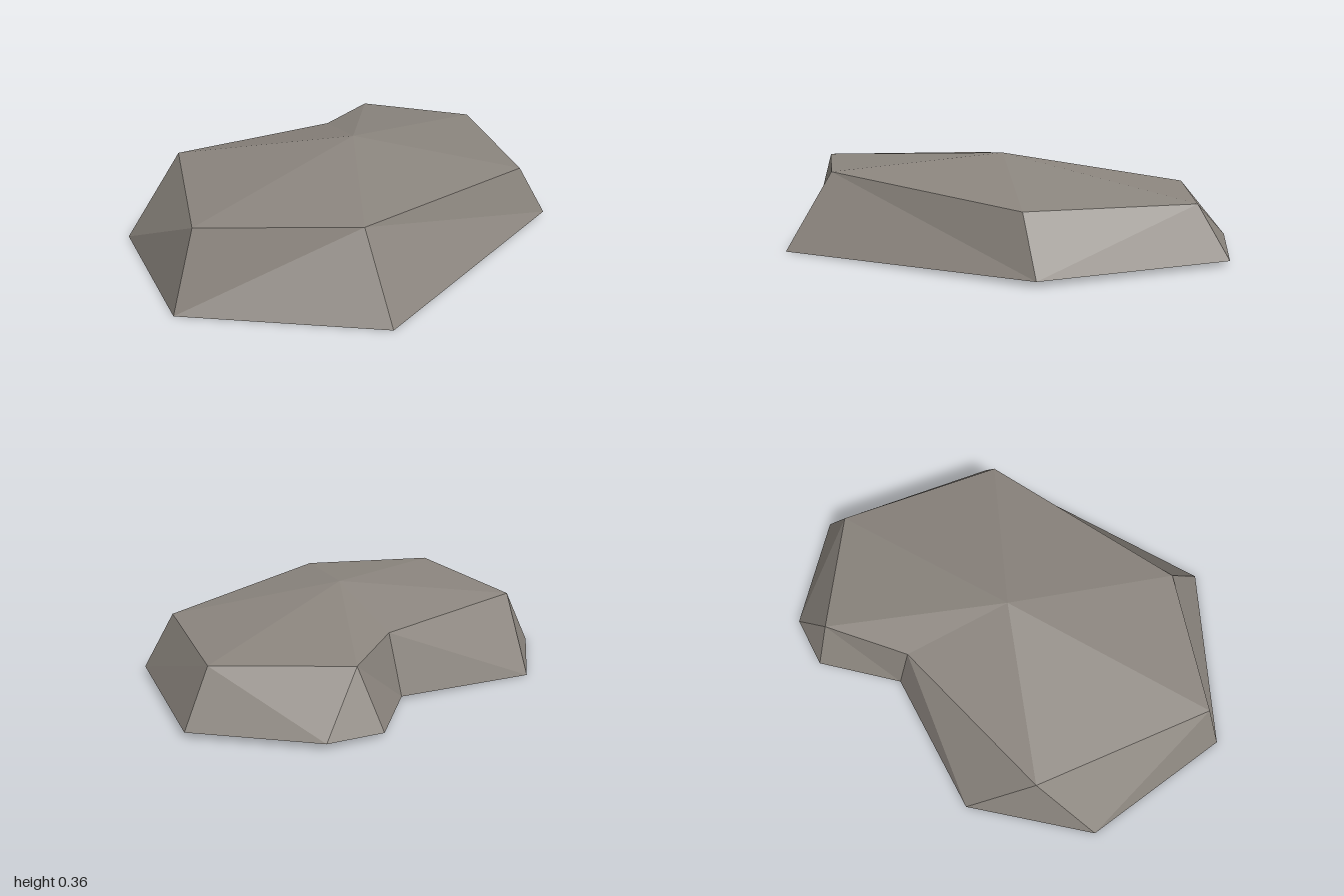
import * as THREE from 'three';

// Ground outline and upper rim, each running from +x round through +z
const BASE = [
  [1, 0.02, 0.01], [0.55, 0.02, 0.645], [-0.55, 0, 0.715], [-1, 0, 0.09], [-0.76, 0, -0.52],
  [-0.255, 0, -0.72], [0.285, 0.015, -0.43], [0.63, 0.015, -0.555], [0.825, 0.02, -0.45],
];
const RIM = [
  [0.87, 0.22, 0.01], [0.45, 0.235, 0.57], [-0.48, 0.3, 0.52], [-0.89, 0.305, 0.09],
  [-0.47, 0.28, -0.53], [0.265, 0.25, -0.36], [0.63, 0.232, -0.445],
];
const PEAK = [0.02, 0.36, 0.02];

// Order in which the side triangles advance along the base (B) or the rim (T)
const STEPS = 'BTTBBTBTBTBTBBTB';

function facetMesh(name, triangles, material) {
  const geometry = new THREE.BufferGeometry();
  geometry.setAttribute('position', new THREE.Float32BufferAttribute(triangles.flat(2), 3));
  geometry.computeVertexNormals();
  const mesh = new THREE.Mesh(geometry, material);
  mesh.name = name;
  return mesh;
}

export function createModel() {
  const stone = new THREE.MeshStandardMaterial({ color: 0x8b857e, flatShading: true, side: THREE.DoubleSide });
  stone.name = 'stone';

  // Shallow crown: a fan from the peak to the rim
  const crown = RIM.map((p, i) => [PEAK, RIM[(i + 1) % RIM.length], p]);

  // Sloping sides: zip the two outlines together; the underside stays open
  const sides = [];
  let b = 0, t = 0;
  for (const step of STEPS) {
    const low = BASE[b % BASE.length], high = RIM[t % RIM.length];
    const next = step === 'B' ? BASE[++b % BASE.length] : RIM[++t % RIM.length];
    sides.push([low, high, next]);
  }

  const rock = new THREE.Group();
  rock.name = 'flatRock';
  rock.add(facetMesh('rockCrown', crown, stone), facetMesh('rockSides', sides, stone));
  return rock;
}
